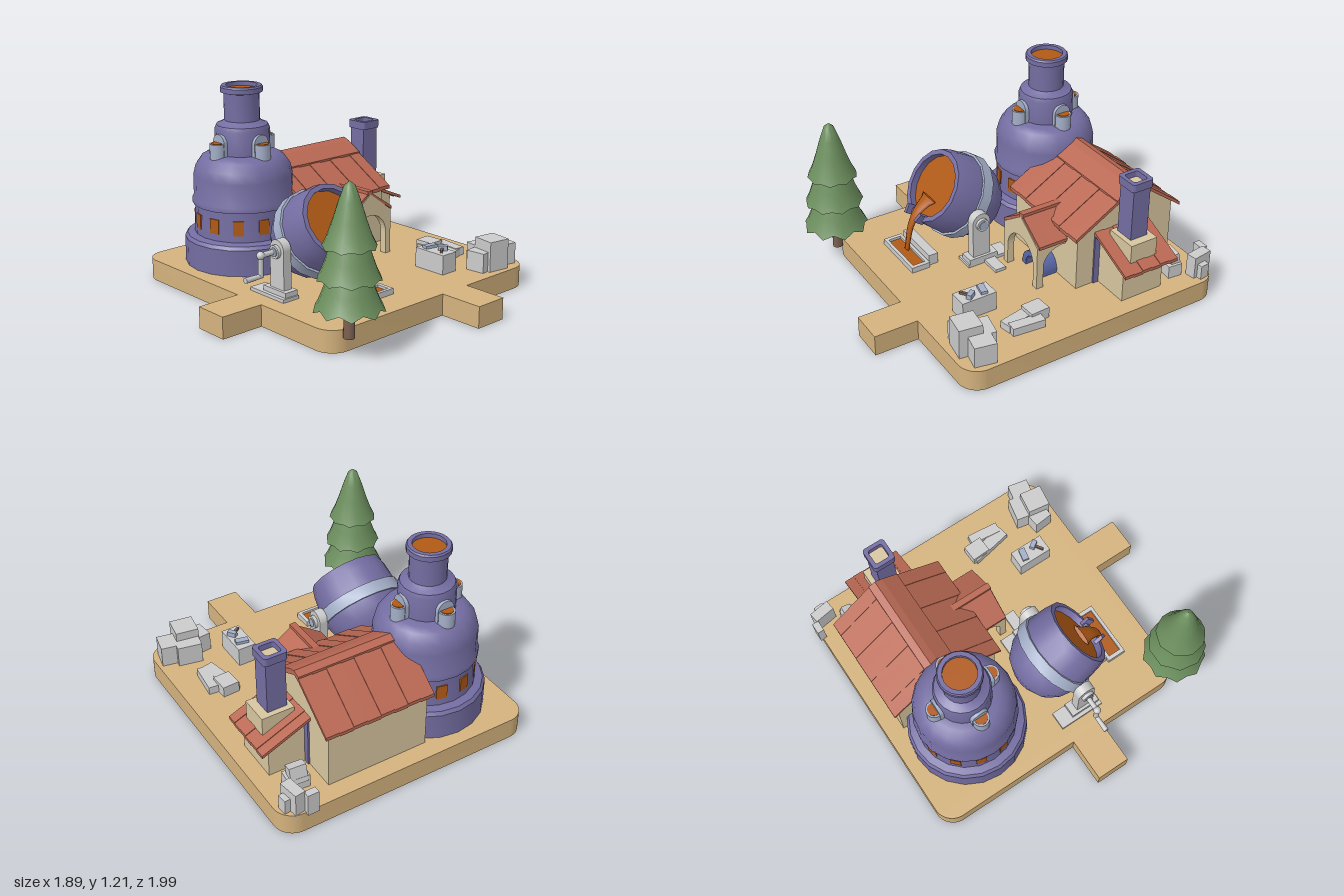
import * as THREE from 'three';
import { toCreasedNormals } from 'three/addons/utils/BufferGeometryUtils.js';

const C = { sand: 0xd4b27d, wall: 0xd8c6a0, purple: 0x746da2, roof: 0xb96853, molten: 0xb05a16,
  steel: 0xa4afc8, leaf: 0x6c8f5e, wood: 0x7d6152, blue: 0x5a68a8, stone: 0xcccccc };
const V = (x, y) => new THREE.Vector2(x, y);

function add(parent, name, geo, color, p = [0, 0, 0], r = [0, 0, 0], open = false) {
  const mat = new THREE.MeshStandardMaterial({ color, side: open ? THREE.DoubleSide : THREE.FrontSide });
  const m = new THREE.Mesh(geo, mat);
  m.name = name;
  m.position.set(...p);
  m.rotation.set(...r);
  parent.add(m);
  return m;
}
function group(parent, name, p = [0, 0, 0]) {
  const g = new THREE.Group();
  g.name = name;
  g.position.set(...p);
  parent.add(g);
  return g;
}
// Box given by its limits on each axis
function box(parent, name, color, x0, x1, y0, y1, z0, z1, ry = 0, rx = 0) {
  return add(parent, name, new THREE.BoxGeometry(x1 - x0, y1 - y0, z1 - z0), color,
    [(x0 + x1) / 2, (y0 + y1) / 2, (z0 + z1) / 2], [rx, ry, 0]);
}
const cyl = (r0, r1, h, n = 16) => new THREE.CylinderGeometry(r0, r1, h, n);
const lathe = (pts, n = 20) => toCreasedNormals(new THREE.LatheGeometry(pts.map(p => V(...p)), n), 0.6);
const poly = pts => new THREE.Shape(pts.map(p => V(...p)));
const extrude = (shape, depth) => new THREE.ExtrudeGeometry(shape, { depth, bevelEnabled: false, curveSegments: 10 });
// Shape drawn in (z, y), running from x0 to x1
const extrudeX = (shape, x0, x1) => extrude(shape, x1 - x0).rotateY(-Math.PI / 2).translate(x1, 0, 0);
// Roof sheet section of even thickness below a line of points
const sheet = (pts, t) => poly([...pts, ...pts.map(([a, b]) => [a, b - t]).reverse()]);

function roundRect(x0, x1, y0, y1, r) {
  const s = new THREE.Shape();
  s.absarc(x1 - r, y1 - r, r, 0, Math.PI / 2);
  s.absarc(x0 + r, y1 - r, r, Math.PI / 2, Math.PI);
  s.absarc(x0 + r, y0 + r, r, Math.PI, Math.PI * 1.5);
  s.absarc(x1 - r, y0 + r, r, Math.PI * 1.5, Math.PI * 2);
  return s;
}

function buildBase(root) {
  const g = group(root, 'base');
  const rim = roundRect(-0.68, 0.945, -0.98, 0.72, 0.12);
  add(g, 'ground', new THREE.ShapeGeometry(rim).rotateX(Math.PI / 2), C.sand, [0, 0.13, 0], [0, 0, 0], true);
  rim.holes.push(roundRect(-0.672, 0.937, -0.972, 0.712, 0.112));
  add(g, 'rim', toCreasedNormals(extrude(rim, 0.13).rotateX(Math.PI / 2), 0.6), C.sand, [0, 0.13, 0]);
  box(g, 'sideTab', C.sand, -0.95, -0.675, 0, 0.13, -0.06, 0.15);
  box(g, 'frontTab', C.sand, 0.18, 0.385, 0, 0.13, 0.715, 0.99);
}

function buildFurnace(root) {
  const g = group(root, 'furnace', [-0.24, 0, -0.54]);
  add(g, 'furnaceBody', lathe([[0.36, 0.13], [0.36, 0.29], [0.345, 0.31], [0.3, 0.32], [0.29, 0.5], [0.31, 0.5],
    [0.31, 0.53], [0.3, 0.55], [0.3, 0.67], [0.285, 0.73], [0.25, 0.78], [0.21, 0.8], [0.165, 0.805],
    [0.165, 0.95], [0.155, 0.975], [0.13, 0.985], [0.107, 1.0], [0.107, 1.165], [0.127, 1.17], [0.127, 1.2],
    [0.12, 1.21], [0.095, 1.21], [0.095, 1.17]]), C.purple, [0, 0, 0], [0, 0, 0], true);
  add(g, 'moltenTop', cyl(0.096, 0.096, 0.01, 20), C.molten, [0, 1.18, 0]);
  const arch = new THREE.Shape();
  arch.moveTo(-0.053, 0.78);
  arch.lineTo(0.053, 0.78);
  arch.absarc(0, 0.88, 0.053, 0, Math.PI);
  for (let i = 0; i < 4; i++) {
    const vent = group(g, 'vent');
    vent.rotation.y = i * Math.PI / 2;
    add(vent, 'ventArch', extrude(arch, 0.06), C.steel, [0, 0, 0.12]);
    add(vent, 'ventPot', cyl(0.05, 0.05, 0.12), C.steel, [0, 0.82, 0.185]);
    add(vent, 'ventMolten', cyl(0.038, 0.038, 0.01), C.molten, [0, 0.879, 0.187]);
  }
  for (let i = 0; i < 12; i++) {
    const w = group(g, 'window');
    w.rotation.y = (i + 0.5) * Math.PI / 6;
    box(w, 'windowGlow', C.molten, -0.032, 0.032, 0.36, 0.45, 0.27, 0.297);
  }
}

function buildHouse(root) {
  const g = group(root, 'house');
  add(g, 'walls', extrudeX(poly([[-0.2, 0.13], [-0.2, 0.49], [-0.54, 0.69], [-0.585, 0.71], [-0.63, 0.69],
    [-0.87, 0.51], [-0.87, 0.13]]), -0.03, 0.605), C.wall);
  // Roof strips, alternately raised a little, with a ridge cap
  const line = [[-0.165, 0.495], [-0.44, 0.655], [-0.585, 0.73], [-0.63, 0.71], [-0.905, 0.505]];
  const n = 8, w = 0.69 / n;
  for (let i = 0; i < n; i++)
    add(g, 'roofStrip', extrudeX(sheet(line, 0.022), -0.05 + i * w, -0.05 + (i + 1) * w), C.roof, [0, (i % 2) * 0.005, 0]);
  add(g, 'ridgeCap', extrudeX(sheet([[-0.44, 0.668], [-0.54, 0.726], [-0.585, 0.742], [-0.63, 0.726]], 0.02), -0.05, 0.64), C.roof);

  // Lean-to with chimney
  const a = group(g, 'annex');
  add(a, 'annexWalls', extrude(poly([[0.6, 0.13], [0.84, 0.13], [0.84, 0.36], [0.6, 0.46]]), 0.28), C.wall, [0, 0, -0.635]);
  for (let i = 0; i < 6; i++)
    add(a, 'annexRoofStrip', extrude(sheet([[0.59, 0.482], [0.905, 0.345]], 0.02), 0.062), C.roof,
      [0, (i % 2) * 0.005, -0.69 + i * 0.062]);
  for (const z of [-0.335, -0.655]) box(a, 'annexPost', C.purple, 0.58, 0.615, 0.13, 0.46, z - 0.018, z + 0.018);
  box(a, 'chimneyBase', C.wall, 0.64, 0.84, 0.36, 0.49, -0.58, -0.4);
  box(a, 'chimney', C.purple, 0.667, 0.788, 0.48, 0.82, -0.547, -0.432);
  const cap = roundRect(0.655, 0.8, -0.56, -0.418, 0.02);
  cap.holes.push(roundRect(0.68, 0.775, -0.535, -0.443, 0.015));
  add(a, 'chimneyCap', extrude(cap, 0.05).rotateX(Math.PI / 2), C.purple, [0, 0.86, 0]);
  box(a, 'chimneyFill', C.wall, 0.675, 0.78, 0.8, 0.825, -0.54, -0.438);

  // Porch with arched openings
  const p = group(g, 'porch');
  const f = poly([[0.14, 0.13], [0.14, 0.41], [0.315, 0.535], [0.49, 0.41], [0.49, 0.13], [0.45, 0.13]]);
  f.absarc(0.315, 0.265, 0.135, 0, Math.PI);
  f.lineTo(0.18, 0.13);
  add(p, 'porchFront', extrude(f, 0.045), C.wall, [0, 0, -0.05]);
  const side = poly([[-0.2, 0.42], [-0.045, 0.42], [-0.045, 0.25]]);
  side.quadraticCurveTo(-0.05, 0.38, -0.2, 0.385);
  for (const x of [0.14, 0.45]) add(p, 'porchSide', extrudeX(side, x, x + 0.04), C.wall);
  add(p, 'porchRoof', extrude(sheet([[0.13, 0.425], [0.315, 0.55], [0.505, 0.425]], 0.02), 0.28), C.roof, [0, 0, -0.29]);
  box(p, 'porchRidge', C.roof, 0.295, 0.335, 0.53, 0.556, -0.3, -0.005);
  const ring = new THREE.Shape();
  ring.absarc(0, 0, 0.1, 0, Math.PI);
  ring.absarc(0, 0, 0.065, Math.PI, 0, true);
  add(p, 'hearthArch', extrude(ring, 0.11), C.blue, [0.313, 0.15, -0.2]);
  for (const s of [-1, 1]) box(p, 'hearthFoot', C.blue, 0.313 + s * 0.082 - 0.018, 0.313 + s * 0.082 + 0.018, 0.13, 0.155, -0.2, -0.09);
}

function buildCrucible(root) {
  // Tilted pot: local +y is the mouth direction
  const g = group(root, 'crucible', [-0.225, 0.55, 0.27]);
  g.rotation.x = Math.atan2(0.82, 0.57);
  add(g, 'pot', lathe([[0, -0.465], [0.1, -0.46], [0.18, -0.41], [0.225, -0.34], [0.25, -0.25], [0.25, -0.16],
    [0.24, -0.06], [0.225, 0], [0.195, 0], [0.2, -0.09]], 16), C.purple, [0, 0, 0], [0, 0, 0], true);
  add(g, 'band', lathe([[0.24, -0.25], [0.264, -0.25], [0.264, -0.175], [0.24, -0.175]], 16), C.steel, [0, 0, 0], [0, 0, 0], true);
  add(g, 'moltenPool', cyl(0.2, 0.2, 0.012, 20), C.molten, [0, -0.05, 0]);
  for (const s of [-1, 1])
    add(g, 'spoutLip', new THREE.BoxGeometry(0.022, 0.06, 0.06), C.purple, [s * 0.065, 0.005, 0.2], [0, s * -0.25, 0]);

  // Stream of metal, narrowing along a curve
  const curve = new THREE.CatmullRomCurve3([[0.47, 0.29], [0.405, 0.37], [0.32, 0.42], [0.155, 0.455]]
    .map(([y, z]) => new THREE.Vector3(-0.23, y, z)));
  const stream = new THREE.CylinderGeometry(1, 1, 1, 8, 10), pos = stream.attributes.position, q = new THREE.Vector3();
  for (let i = 0; i < pos.count; i++) {
    const t = 0.5 - pos.getY(i), w = 0.075 - 0.058 * Math.sqrt(t);
    curve.getPoint(t, q);
    pos.setXYZ(i, q.x + pos.getX(i) * w, q.y + pos.getZ(i) * 0.008, q.z + pos.getZ(i) * 0.012);
  }
  stream.computeVertexNormals();
  add(root, 'stream', stream, C.molten, [0, 0, 0], [0, 0, 0], true);

  // Stands on both sides
  const post = poly([[0.062, 0.13], [0.062, 0.41]]);
  post.absarc(0.12, 0.41, 0.058, Math.PI, 0, true);
  post.lineTo(0.178, 0.13);
  for (const s of [-1, 1]) {
    const st = group(root, 'stand', [-0.225, 0, 0]);
    const x = s * 0.285;
    box(st, 'standFoot', C.stone, x - 0.068, x + 0.045, 0.125, 0.15, -0.07, 0.22);
    box(st, 'standStep', C.stone, x - 0.045, x + 0.045, 0.14, 0.18, 0.02, 0.21);
    add(st, 'standPost', extrudeX(post, x - 0.028, x + 0.028), C.stone);
    add(st, 'axle', cyl(0.027, 0.027, 0.14), C.steel, [s * 0.27, 0.4, 0.12], [0, 0, Math.PI / 2]);
    for (const d of [-0.04, 0.04])
      add(st, 'hub', cyl(0.04, 0.04, 0.02), C.stone, [x + d, 0.4, 0.12], [0, 0, Math.PI / 2]);
  }
  box(root, 'standPlate', C.stone, 0.08, 0.23, 0.125, 0.15, 0.04, 0.11);

  // Crank handle
  const c = group(root, 'crank', [0, 0, 0.115]);
  add(c, 'crankShaft', cyl(0.016, 0.016, 0.12, 10), C.stone, [-0.59, 0.4, 0], [0, 0, Math.PI / 2]);
  add(c, 'crankElbow', new THREE.SphereGeometry(0.024, 10, 8), C.stone, [-0.65, 0.4, 0]);
  add(c, 'crankArm', cyl(0.016, 0.016, 0.12, 10), C.stone, [-0.65, 0.34, 0]);
  add(c, 'crankGrip', cyl(0.017, 0.013, 0.12, 10), C.stone, [-0.7, 0.28, 0], [0, 0, Math.PI / 2]);

  // Casting trough
  const t = group(root, 'trough');
  for (const [z0, z1] of [[0.41, 0.43], [0.51, 0.53]]) box(t, 'troughSide', C.stone, -0.385, -0.025, 0.125, 0.165, z0, z1);
  for (const x of [-0.385, -0.05]) box(t, 'troughEnd', C.stone, x, x + 0.025, 0.125, 0.165, 0.43, 0.51);
  box(t, 'troughMetal', C.molten, -0.37, -0.04, 0.125, 0.15, 0.425, 0.515);
  box(t, 'troughBack', C.stone, -0.365, -0.045, 0.125, 0.198, 0.345, 0.405);
}

function buildProps(root) {
  const b = group(root, 'workbench');
  box(b, 'benchBlock', C.stone, 0.41, 0.525, 0.125, 0.25, 0.29, 0.51);
  box(b, 'ingot', C.steel, 0.43, 0.51, 0.25, 0.268, 0.33, 0.37, -0.2);
  box(b, 'hammerHandle', C.wood, 0.425, 0.5, 0.253, 0.268, 0.445, 0.46, 0.6);
  box(b, 'hammerHead', C.steel, 0.475, 0.505, 0.25, 0.28, 0.41, 0.465, 0.6);
  const r = group(root, 'stones');
  // Each: x0, x1, y0, y1, z0, z1, turn
  [[0.65, 0.725, 0.12, 0.175, 0.09, 0.355, 0.2], [0.64, 0.745, 0.13, 0.198, 0.08, 0.2, 0.05],
    [0.73, 0.795, 0.12, 0.18, 0.14, 0.34, -0.1],
    [0.66, 0.8, 0.12, 0.315, 0.54, 0.68, -0.15], [0.805, 0.91, 0.12, 0.26, 0.52, 0.65, -0.2],
    [0.6, 0.69, 0.12, 0.25, 0.53, 0.65, 0.1], [0.68, 0.83, 0.12, 0.26, 0.465, 0.55, -0.2],
    [0.74, 0.81, 0.12, 0.26, -0.998, -0.955, 0], [0.815, 0.88, 0.12, 0.27, -0.97, -0.84, 0.15],
    [0.86, 0.915, 0.12, 0.22, -0.93, -0.87, 0.1], [0.685, 0.815, 0.12, 0.21, -0.815, -0.725, -0.1]]
    .forEach(([x0, x1, y0, y1, z0, z1, ry]) => box(r, 'stone', C.stone, x0, x1, y0, y1, z0, z1, ry));
  box(r, 'leaningStone', C.stone, 0.7, 0.8, 0.17, 0.275, -0.81, -0.75, -0.1, 0.25);
}

function buildTree(root) {
  const g = group(root, 'tree', [-0.58, 0, 0.75]);
  add(g, 'trunk', cyl(0.028, 0.032, 0.22, 8), C.wood, [0, 0.2, 0]);
  // Each tier: hem height, hem radius, top height, top radius
  [[0.26, 0.187, 0.5, 0.07], [0.425, 0.17, 0.68, 0.06], [0.6, 0.145, 0.945, 0.0]].forEach(([y0, r, y1, rt], k) => {
    const h = y1 - y0, mix = f => rt + (r - rt) * f;
    const geo = new THREE.LatheGeometry([[0.02, y0 + 0.03], [r * 0.75, y0 + 0.01], [r, y0], [mix(0.82), y0 + h * 0.16],
      [mix(0.62), y0 + h * 0.4], [mix(0.4), y0 + h * 0.7], [mix(0.2), y0 + h * 0.93], [rt, y1]].map(p => V(...p)), 18);
    const p = geo.attributes.position;
    // Wavy hem
    for (let i = 0; i < p.count; i++) {
      const near = Math.max(0, 1 - (p.getY(i) - y0) / (h * 0.3)), a = Math.atan2(p.getZ(i), p.getX(i));
      const s = Math.sin(a * 9 + k) * near;
      p.setXYZ(i, p.getX(i) * (1 + s * 0.04), p.getY(i) - s * 0.014, p.getZ(i) * (1 + s * 0.04));
    }
    add(g, 'foliage', toCreasedNormals(geo, 0.9), C.leaf, [0, 0, 0], [0, 0, 0], true);
  });
}

export function createModel() {
  const root = new THREE.Group();
  root.name = 'foundry';
  [buildBase, buildFurnace, buildHouse, buildCrucible, buildProps, buildTree].forEach(f => f(root));
  return root;
}
